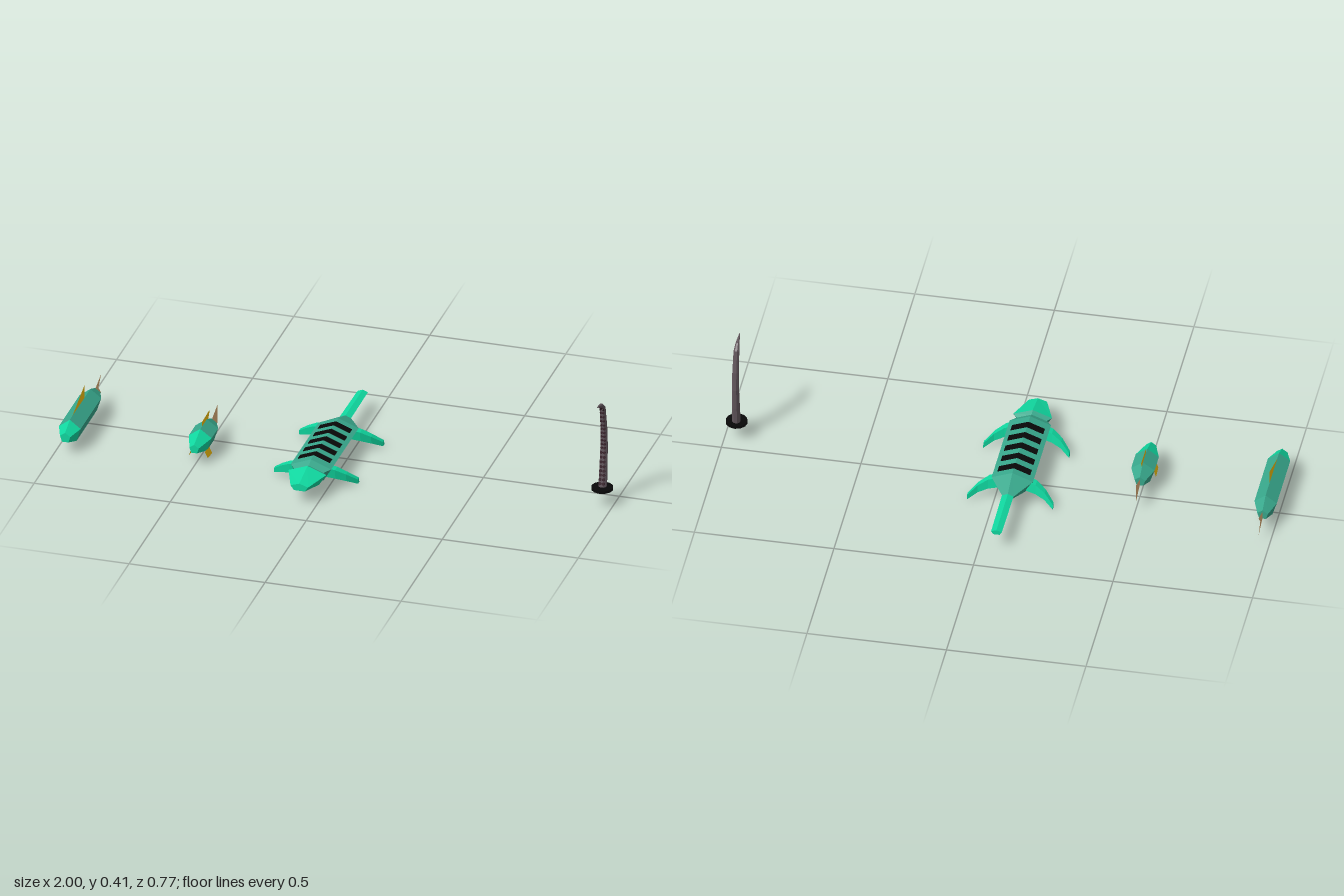
import * as THREE from 'three';

const V = (x, y, z) => new THREE.Vector3(x, y, z);
const mat = (color, side = THREE.FrontSide) =>
  new THREE.MeshStandardMaterial({ color, flatShading: true, side });

const dull = mat(0x38a88c), bright = mat(0x10d8a0), black = mat(0x080808);
const gold = mat(0xf5c010, THREE.DoubleSide), tan = mat(0xe0b078, THREE.DoubleSide);
const skin = mat(0x62565c), sucker = mat(0x3c262e);

function add(parent, name, geometry, material) {
  const mesh = new THREE.Mesh(geometry, material);
  mesh.name = name;
  parent.add(mesh);
  return mesh;
}

// Flat-faced skin through rings of points; rings run clockwise seen along the direction of travel
function loft(rings, keep = () => true, caps = true) {
  const pos = [], n = rings[0].length;
  const tri = (...p) => p.forEach(v => pos.push(v.x, v.y, v.z));
  for (let k = 0; k + 1 < rings.length; k++) {
    const a = rings[k], b = rings[k + 1];
    for (let i = 0; i < n; i++) {
      if (!keep(i)) continue;
      const j = (i + 1) % n;
      tri(a[i], a[j], b[i]);
      tri(a[j], b[j], b[i]);
    }
  }
  if (caps) {
    const a = rings[0], b = rings[rings.length - 1];
    for (let i = 1; i + 1 < n; i++) {
      tri(a[0], a[i + 1], a[i]);
      tri(b[0], b[i], b[i + 1]);
    }
  }
  const g = new THREE.BufferGeometry();
  g.setAttribute('position', new THREE.Float32BufferAttribute(pos, 3));
  g.computeVertexNormals();
  return g;
}

// Pentagon sections [z, half width radius, height radius], listed from nose to tail
const pentagons = sections => sections.map(([z, rx, ry]) =>
  Array.from({ length: 5 }, (_, i) => {
    const a = i * Math.PI * 2 / 5;
    return V(Math.sin(a) * rx, 0.069 + Math.cos(a) * ry, z);
  }));

// Thin fan-shaped fin from corner points
function fin(parent, name, corners, material = gold) {
  const pos = [];
  for (let i = 1; i + 1 < corners.length; i++) pos.push(...corners[0], ...corners[i], ...corners[i + 1]);
  const g = new THREE.BufferGeometry();
  g.setAttribute('position', new THREE.Float32BufferAttribute(pos, 3));
  g.computeVertexNormals();
  return add(parent, name, g, material);
}

function fish(name, x, sections) {
  const g = new THREE.Group();
  g.name = name;
  g.position.x = x;
  const rings = pentagons(sections);
  add(g, 'fishHead', loft(rings.slice(0, 2)), bright);
  add(g, 'fishBody', loft(rings.slice(1)), dull);
  return g;
}

function largeFish() {
  const g = fish('largeFish', -0.96,
    [[0.257, 0.02, 0.02], [0.2, 0.042, 0.044], [-0.05, 0.042, 0.044], [-0.107, 0.02, 0.02]]);
  fin(g, 'dorsalFin', [[0, 0.108, 0.18], [0, 0.163, 0.021], [0, 0.108, 0.021]]);
  fin(g, 'bellyFin', [[0, 0.036, 0.1], [0, 0.013, 0.048], [0, 0.036, 0.048]]);
  fin(g, 'analFin', [[0, 0.036, 0.021], [0, 0.003, -0.055], [0, 0.036, -0.055]]);
  for (const s of [1, -1])
    fin(g, 'tailFin', [[0, 0.069, -0.1], [0, 0.069 + s * 0.014, -0.107],
      [0, 0.071 + s * 0.037, -0.18], [0, 0.07, -0.148]], tan);
  return g;
}

function smallFish() {
  const g = fish('smallFish', -0.5,
    [[0.21, 0.018, 0.018], [0.135, 0.044, 0.044], [0.055, 0.044, 0.044], [0, 0.02, 0.02]]);
  fin(g, 'dorsalFin', [[0, 0.108, 0.116], [0, 0.13, 0.116], [0, 0.134, 0.02], [0, 0.1, 0.04]]);
  fin(g, 'tailFin', [[0, 0.08, 0], [0, 0.108, -0.075], [0, 0.034, -0.075], [0, 0.058, 0]], tan);
  for (const s of [1, -1])
    fin(g, 'pectoralFin', [[s * 0.026, 0.04, 0.165], [s * 0.035, 0.015, 0.16],
      [s * 0.036, 0.011, 0.11], [s * 0.026, 0.04, 0.115]]);
  return g;
}

function reptile() {
  const g = new THREE.Group();
  g.name = 'reptile';
  g.position.x = -0.06;
  const rings = pentagons([[0.386, 0.034, 0.0155], [0.287, 0.073, 0.0376], [0.27, 0.056, 0.03],
    [0.244, 0.078, 0.042], [-0.09, 0.078, 0.042], [-0.174, 0.022, 0.0122], [-0.385, 0.02, 0.0105]]);
  add(g, 'snout', loft(rings.slice(0, 2)), bright);
  add(g, 'body', loft(rings.slice(1, 6), i => i !== 2), dull);
  add(g, 'belly', loft(rings.slice(1, 6), i => i === 2, false), gold);
  add(g, 'tail', loft(rings.slice(5)), bright);

  // Black bands folded over the ridge of the back
  for (let k = 0; k < 5; k++) {
    const z = 0.195 - k * 0.0605;
    const band = zz => [V(0, 0.1125, zz), V(0.059, 0.0895, zz), V(0.057, 0.084, zz),
      V(0, 0.107, zz), V(-0.057, 0.084, zz), V(-0.059, 0.0895, zz)];
    add(g, 'backBand', loft([band(z + 0.015), band(z - 0.015)]), black);
  }

  // Legs [x, y, z, half height, half depth], bending outward, down and back
  const leg = [[0.05, 0.066, 0.224, 0.019, 0.019], [0.085, 0.058, 0.217, 0.018, 0.017],
    [0.12, 0.041, 0.202, 0.014, 0.013], [0.154, 0.016, 0.175, 0.009, 0.009]];
  for (const s of [1, -1]) for (const dz of [0, -0.304]) {
    const legRings = leg.map(([x, y, z, h, d]) => {
      const p = [V(s * x, y + h, z + dz + d), V(s * x, y - h, z + dz + d * 0.7),
        V(s * x, y - h, z + dz - d), V(s * x, y + h, z + dz - d * 0.7)];
      return s > 0 ? p : p.reverse();
    });
    add(g, dz ? 'hindLeg' : 'frontLeg', loft(legRings), bright);
  }
  return g;
}

function tentacle() {
  const g = new THREE.Group();
  g.name = 'tentacle';
  g.position.x = 0.96;
  add(g, 'baseDisc', new THREE.CylinderGeometry(0.039, 0.039, 0.01, 12), black)
    .position.set(0, 0.068, 0.076);

  // Arm stations [z, y, radius]
  const arm = [[0.071, 0.07, 0.0155], [0.061, 0.145, 0.0145], [0.053, 0.228, 0.013],
    [0.057, 0.3, 0.012], [0.072, 0.383, 0.0105], [0.09, 0.4, 0.0075], [0.135, 0.414, 0.0015]];
  const pts = arm.map(([z, y]) => V(0, y, z));
  const U = V(1, 0, 0);
  const rings = arm.map(([, , r], k) => {
    const T = pts[Math.min(k + 1, 6)].clone().sub(pts[Math.max(k - 1, 0)]).normalize();
    const R = T.cross(U);
    return Array.from({ length: 8 }, (_, i) => {
      const a = (i + 0.5) * Math.PI / 4;
      return pts[k].clone().addScaledVector(U, Math.cos(a) * r).addScaledVector(R, Math.sin(a) * r);
    });
  });
  add(g, 'arm', loft(rings), skin);

  // Two columns of suckers on the inner side of the curve
  const disc = new THREE.CylinderGeometry(1, 1, 0.004, 8).rotateX(Math.PI / 2);
  for (let k = 0; k < 24; k++) {
    const t = 0.2 + k * 0.212, i = Math.floor(t), f = t - i;
    const p = pts[i].clone().lerp(pts[i + 1], f);
    const r = THREE.MathUtils.lerp(arm[i][2], arm[i + 1][2], f);
    const T = pts[i + 1].clone().sub(pts[i]).normalize();
    const out = U.clone().cross(T);
    if (out.z < 0) out.negate();
    for (const s of [1, -1]) {
      const m = add(g, 'sucker', disc, sucker);
      m.position.copy(p).addScaledVector(out, r * 0.93);
      m.position.x = s * r * 0.4;
      m.scale.set(r * 0.38, r * 0.38, 1);
      m.quaternion.setFromUnitVectors(V(0, 0, 1), out);
    }
  }
  return g;
}

export function createModel() {
  const model = new THREE.Group();
  model.name = 'seaCreatures';
  model.add(largeFish(), smallFish(), reptile(), tentacle());
  return model;
}
